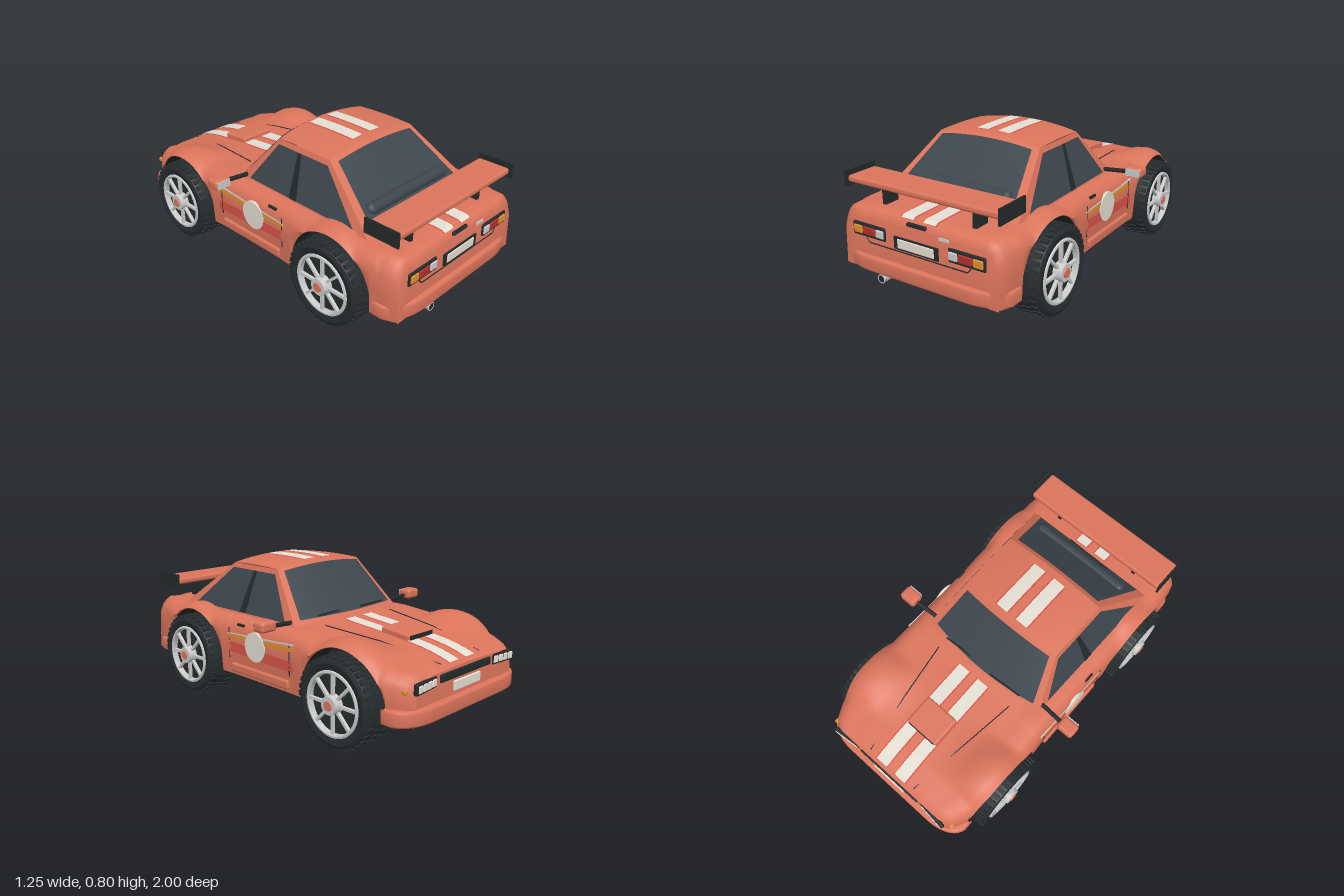
import * as THREE from 'three';
import { toCreasedNormals } from 'three/addons/utils/BufferGeometryUtils.js';
import { RoundedBoxGeometry } from 'three/addons/geometries/RoundedBoxGeometry.js';
import { ParametricGeometry } from 'three/addons/geometries/ParametricGeometry.js';

const mat = color => new THREE.MeshStandardMaterial({ color, side: THREE.DoubleSide });
const M = {
  paint: mat(0xdb745b), dark: mat(0x23292b), tyre: mat(0x262c2e), glass: mat(0x3d474e), grey: mat(0xcccccc),
  cream: mat(0xe4dfd3), red: mat(0xb5302a), band: mat(0xd9534a), amber: mat(0xe0902f),
};
const REAR = 0.565, FRONT = -0.595, AXLE = 0.232, ARCH = 0.262;
const lerp = THREE.MathUtils.lerp;

// piecewise-linear lookup of [z, value] keys
function key(keys, z) {
  if (z <= keys[0][0]) return keys[0][1];
  for (let i = 1; i < keys.length; i++) {
    const [a, p] = keys[i - 1], [b, q] = keys[i];
    if (z <= b) return lerp(p, q, (z - a) / (b - a));
  }
  return keys[keys.length - 1][1];
}
const deckY = z => key([[-0.96, 0.395], [-0.93, 0.415], [-0.8, 0.448], [-0.6, 0.475], [-0.3, 0.5], [-0.2, 0.515],
  [0.7, 0.51], [0.93, 0.505], [0.955, 0.49], [0.97, 0.455]], z);
const halfWidth = z => key([[-0.96, 0.41], [-0.92, 0.445], [-0.84, 0.48], [-0.7, 0.497], [-0.35, 0.5], [-0.25, 0.494],
  [0.2, 0.494], [0.3, 0.5], [0.8, 0.5], [0.93, 0.485], [0.97, 0.465]], z);
const arc = (z, r) => Math.max(...[REAR, FRONT].map(w => Math.abs(z - w) <= r ? AXLE + Math.sqrt(r * r - (z - w) ** 2) : 0));
const crestY = z => Math.max(Math.min(deckY(z), 0.505), arc(z, 0.297));
const hemY = z => Math.max(0.185, arc(z, ARCH));

// one cross-section of the lower body, left hem over the hood to the right hem
function section(z) {
  const t = deckY(z), c = crestY(z), W = halfWidth(z), k = W / 0.5, b = hemY(z);
  const s = Math.max(c - (z > 0.85 ? 0.085 : 0.065), b + 0.004), d = c - s;
  const half = [[0.1, t + 0.004], [0.24 * k, t], [0.3 * k, lerp(t, c, 0.5)], [0.36 * k, c - 0.006], [0.42 * k, c],
    [0.455 * k, c - 0.2 * d], [0.482 * k, c - 0.52 * d], [W, s], [W + 0.003, lerp(s, b, 0.4)], [W - 0.006, b]];
  return [...half.map(([x, y]) => [-x, y]).reverse(), [0, t + 0.006], ...half];
}
function bodyGeometry() {
  const zs = [-0.96, -0.945, -0.93, -0.9, -0.25, -0.2, -0.1, 0.05, 0.2, 0.93, 0.945, 0.955, 0.964, 0.97];
  for (const w of [REAR, FRONT]) {
    for (let i = 0; i <= 28; i++) zs.push(w - ARCH * Math.cos(i * Math.PI / 28));
    for (const s of [-1, 1]) zs.push(w + s * (ARCH + 0.0005), w + s * 0.28, w + s * 0.297, w + s * 0.31);
  }
  zs.sort((a, b) => a - b);
  const rows = zs.map(z => section(z).map(([x, y]) => [x, y, z]));
  // flat nose and tail
  const drop = (row, dz) => row.map(([x, , z]) => [x, 0.185, z + dz]);
  rows.unshift(drop(rows[0], -0.012));
  rows.push(drop(rows[rows.length - 1], 0.006));
  const n = rows.length - 1, m = rows[0].length - 1;
  return toCreasedNormals(new ParametricGeometry((u, v, p) => p.set(...rows[Math.round(u * n)][Math.round(v * m)]), n, m), 0.7);
}

// cabin faces: s runs across (or front to back on the sides), t runs upward
const crown = s => 4 * s * (1 - s);
const cabin = {
  front: (s, t) => [(2 * s - 1) * lerp(0.4, 0.312, t), lerp(0.5, 0.765, t) + 0.028 * t * crown(s), lerp(-0.19, 0.035, t) - crown(s) * lerp(0.05, 0.02, t)],
  rear: (s, t) => [(2 * s - 1) * lerp(0.415, 0.312, t), lerp(0.495, 0.765, t) + 0.028 * t * crown(s), lerp(0.745, 0.395, t)],
  side: (s, t) => [lerp(lerp(0.4, 0.415, s), 0.312, t), lerp(0.498, 0.765, t), lerp(lerp(-0.19, 0.745, s), lerp(0.035, 0.395, s), t)],
  roof: (s, t) => [(2 * s - 1) * 0.312, 0.765 + 0.028 * crown(s) + 0.006 * crown(t), lerp(0.035 - 0.02 * crown(s), 0.395, t)],
};
function patch(fn, [s0, s1, t0, t1] = [0, 1, 0, 1], lift = [0, 0, 0], n = 12) {
  return new ParametricGeometry((u, v, p) => {
    const q = fn(lerp(s0, s1, u), lerp(t0, t1, v));
    p.set(q[0] + lift[0], q[1] + lift[1], q[2] + lift[2]);
  }, n, n);
}

export function createModel() {
  const root = new THREE.Group();
  const add = (name, geo, m, x = 0, y = 0, z = 0, parent = root) => {
    const mesh = new THREE.Mesh(geo, m);
    mesh.name = name;
    mesh.position.set(x, y, z);
    parent.add(mesh);
    return mesh;
  };
  const box = (name, m, w, h, d, x, y, z, r = 0, parent = root) =>
    add(name, r ? new RoundedBoxGeometry(w, h, d, 3, r) : new THREE.BoxGeometry(w, h, d), m, x, y, z, parent);
  const rod = (name, m, a, b, r) => {
    const path = new THREE.LineCurve3(new THREE.Vector3(...a), new THREE.Vector3(...b));
    return add(name, new THREE.TubeGeometry(path, 1, r, 6), m);
  };

  // lower body and floor
  add('body', bodyGeometry(), M.paint);
  box('floor', M.dark, 0.73, 0.03, 1.74, 0, 0.18, 0.01);
  box('floorCentre', M.dark, 0.96, 0.03, 0.6, 0, 0.185, -0.015);

  // cabin, glass and roof
  for (const k of ['front', 'rear', 'roof']) add('cabin' + k, patch(cabin[k]), M.paint);
  add('windscreen', patch(cabin.front, [0.05, 0.95, 0.1, 0.94], [0, 0.004, -0.005]), M.glass);
  add('rearWindow', patch(cabin.rear, [0.06, 0.94, 0.06, 0.94], [0, 0.004, 0.004]), M.glass);
  const roll = add('rearWindowRoll', new THREE.CapsuleGeometry(0.033, 0.56, 6, 12), M.glass, 0, 0.582, 0.64);
  roll.rotation.z = Math.PI / 2;

  // wheels, arches and everything mirrored left to right
  for (const s of [1, -1]) {
    const side = new THREE.Group();
    side.name = s > 0 ? 'leftSide' : 'rightSide';
    root.add(side);
    const flip = fn => (u, v) => { const q = fn(u, v); return [s * q[0], q[1], q[2]]; };
    add('cabinSide', patch(flip(cabin.side)), M.paint, 0, 0, 0, side);
    add('sideWindow', patch(flip(cabin.side), [0.07, 0.91, 0.05, 0.9], [s * 0.004, 0.002, 0]), M.glass, 0, 0, 0, side);
    add('doorPillar', patch(flip(cabin.side), [0.415, 0.475, 0.05, 0.9], [s * 0.007, 0.003, 0]), M.dark, 0, 0, 0, side);
    for (const z of [REAR, FRONT]) {
      const well = add('wheelWell', new THREE.CylinderGeometry(ARCH, ARCH, 0.122, 32, 1, true, 0, Math.PI), M.dark, s * 0.426, AXLE, z, side);
      well.rotation.z = Math.PI / 2;
      add('wheelWellWall', new THREE.CircleGeometry(ARCH, 32, 0, Math.PI), M.dark, s * 0.366, AXLE, z, side).rotation.y = Math.PI / 2;
      makeWheel(side, s, z);
    }
    box('sill', M.paint, 0.03, 0.05, 0.46, s * 0.492, 0.228, -0.015, 0.012, side);
    // mirror
    box('mirror', M.paint, 0.1, 0.056, 0.08, s * 0.575, 0.538, -0.16, 0.018, side);
    box('mirrorGlass', M.grey, 0.08, 0.04, 0.006, s * 0.575, 0.538, -0.119, 0, side);
    rod('mirrorArm', M.dark, [s * 0.39, 0.52, -0.15], [s * 0.54, 0.53, -0.16], 0.012);
    // door trim
    add('doorDisc', new THREE.CylinderGeometry(0.08, 0.08, 0.02, 32), M.cream, s * 0.492, 0.375, 0.015, side).rotation.z = Math.PI / 2;
    const stripes = [[M.amber, 0.022, 0.41, -0.03], [M.grey, 0.008, 0.428, -0.06], [M.band, 0.055, 0.335, 0.03]];
    for (const [m, h, y, t] of stripes) box('doorStripe', m, 0.008, h, 0.54, s * 0.494, y, -0.01, 0, side).rotation.x = -t;
    box('doorHandle', M.dark, 0.012, 0.012, 0.06, s * 0.478, 0.468, 0.15, 0, side);
    for (const z of [0.235, -0.25]) box('doorGap', M.dark, 0.004, 0.17, 0.005, s * 0.496, 0.36, z, 0, side);
    // tail lamps
    box('tailLampBezel', M.dark, 0.212, 0.07, 0.02, s * 0.298, 0.393, 0.97, 0.008, side);
    for (const [m, x, w] of [[M.amber, 0.365, 0.056], [M.red, 0.293, 0.078], [M.grey, 0.224, 0.05]])
      box('tailLamp', m, w, 0.042, 0.02, s * x, 0.393, 0.977, 0.006, side);
    // headlamps
    const lamp = new THREE.Group();
    lamp.name = 'headlamp';
    lamp.position.set(s * 0.32, 0.36, -0.962);
    lamp.rotation.y = s * 0.1;
    side.add(lamp);
    box('headlampBezel', M.dark, 0.17, 0.056, 0.024, 0, 0, 0, 0.008, lamp);
    for (let i = 0; i < 4; i++) box('headlampLens', M.cream, 0.034, 0.038, 0.014, (i - 1.5) * 0.039, 0, -0.01, 0.006, lamp);
    box('indicator', M.amber, 0.02, 0.022, 0.025, s * 0.434, 0.35, -0.935, 0.005, side);
    // spoiler struts and end plates
    box('spoilerStrut', M.dark, 0.022, 0.12, 0.085, s * 0.275, 0.555, 0.84, 0, side);
    box('spoilerEndPlate', M.dark, 0.01, 0.08, 0.2, s * 0.461, 0.624, 0.853, 0, side);
    // hood and boot seams
    rod('hoodSeam', M.dark, [s * 0.16, deckY(-0.93) + 0.002, -0.93], [s * 0.213, deckY(-0.6) + 0.002, -0.6], 0.003);
    rod('hoodSeam', M.dark, [s * 0.213, deckY(-0.6) + 0.002, -0.6], [s * 0.26, deckY(-0.27), -0.27], 0.003);
    rod('bootSeam', M.dark, [s * 0.32, 0.355, 0.975], [s * 0.3, 0.332, 0.975], 0.003);
    // long stripes with a red edge
    for (const [x0, x1, m, up] of [[0.022, 0.112, M.band, 0.007], [0.03, 0.104, M.cream, 0.009]]) {
      const strip = z => (u, v) => [s * lerp(x0, x1, u), deckY(lerp(...z, v)) + up, lerp(...z, v)];
      add('hoodStripe', patch(strip([-0.94, -0.27])), m, 0, 0, 0, side);
      add('bootStripe', patch(strip([0.75, 0.95])), m, 0, 0, 0, side);
      const roofS = x => 0.5 + s * x / 0.624;
      add('roofStripe', patch(cabin.roof, [roofS(x0), roofS(x1), 0.07, 0.89], [0, up - 0.003, 0]), m, 0, 0, 0, side);
    }
  }

  // bumpers, rounded in plan
  for (const s of [1, -1]) {
    const plan = new THREE.Shape();
    const w = s > 0 ? 0.488 : 0.475;
    plan.moveTo(-w, 0.855);
    plan.lineTo(-w, 0.9);
    plan.bezierCurveTo(-w + 0.02, 0.96, -0.38, 0.985, -0.3, 0.988);
    plan.lineTo(0.3, 0.988);
    plan.bezierCurveTo(0.38, 0.985, w - 0.02, 0.96, w, 0.9);
    plan.lineTo(w, 0.855);
    const geo = new THREE.ExtrudeGeometry(plan, { depth: 0.056, bevelSize: 0.012, bevelThickness: 0.012, bevelSegments: 3, curveSegments: 12 });
    geo.rotateX(Math.PI / 2);
    if (s < 0) geo.rotateY(Math.PI);
    add(s > 0 ? 'rearBumper' : 'frontBumper', toCreasedNormals(geo, 0.7), M.paint, 0, 0.253, 0);
  }

  // rear details
  box('spoilerWing', M.paint, 0.915, 0.036, 0.185, 0, 0.622, 0.848, 0.014);
  box('rearPlateFrame', M.dark, 0.268, 0.064, 0.02, 0, 0.375, 0.97);
  box('rearPlate', M.cream, 0.224, 0.05, 0.02, 0, 0.375, 0.974, 0.006);
  box('bootHandle', M.dark, 0.12, 0.02, 0.03, 0, 0.48, 0.957, 0.008);
  box('bootBadge', M.grey, 0.058, 0.014, 0.012, 0.167, 0.455, 0.968);
  rod('bootSeamBottom', M.dark, [-0.3, 0.332, 0.975], [0.3, 0.332, 0.975], 0.003);
  rod('exhaustPipe', M.grey, [-0.225, 0.16, 0.85], [-0.225, 0.16, 0.99], 0.0235);
  add('exhaustEnd', new THREE.CircleGeometry(0.02, 20), M.dark, -0.225, 0.16, 0.991);
  add('exhaustRim', new THREE.TorusGeometry(0.021, 0.003, 6, 20), M.grey, -0.225, 0.16, 0.99);
  rod('rearWiper', M.dark, [-0.15, 0.535, 0.708], [0.13, 0.52, 0.725], 0.005);

  // front details
  box('grille', M.dark, 0.42, 0.04, 0.02, 0, 0.365, -0.961, 0.006);
  box('frontPlate', M.cream, 0.22, 0.05, 0.014, 0, 0.31, -0.972, 0.005);
  box('hoodScoop', M.paint, 0.21, 0.045, 0.175, 0, 0.487, -0.603, 0.012).rotation.x = -0.1;
  box('hoodScoopMouth', M.dark, 0.18, 0.022, 0.01, 0, 0.483, -0.689);
  for (const x of [-0.27, 0.05]) rod('wiper', M.dark, [x, 0.545, -0.2], [x + 0.2, 0.545, -0.212], 0.005);
  return root;
}

// wheel built around its axle, outer face toward +y, then laid on its side
function makeWheel(parent, s, z) {
  const wheel = new THREE.Group();
  wheel.name = z > 0 ? 'rearWheel' : 'frontWheel';
  wheel.position.set(s * 0.466, AXLE, z);
  wheel.rotation.z = -s * Math.PI / 2;
  parent.add(wheel);
  const add = (name, geo, m, y = 0) => {
    const mesh = new THREE.Mesh(geo, m);
    mesh.name = name;
    mesh.position.y = y;
    wheel.add(mesh);
    return mesh;
  };
  const lathe = pts => toCreasedNormals(new THREE.LatheGeometry(pts.map(p => new THREE.Vector2(...p)), 40), 0.6);
  add('tyre', lathe([[0.16, -0.075], [0.2, -0.085], [0.217, -0.077], [0.225, -0.05], [0.226, 0], [0.225, 0.05], [0.217, 0.077], [0.2, 0.085], [0.16, 0.075]]), M.tyre);
  for (let i = 0; i < 36; i++) for (const row of [-1, 0, 1]) {
    const a = (i + (row ? 0 : 0.5)) * Math.PI / 18;
    const block = add('treadBlock', new THREE.BoxGeometry(0.024, 0.042, 0.012), M.tyre, row * 0.052);
    block.position.x = Math.sin(a) * 0.225;
    block.position.z = Math.cos(a) * 0.225;
    block.rotation.y = a;
  }
  add('wheelDish', new THREE.CylinderGeometry(0.162, 0.162, 0.11, 40), M.tyre);
  add('rim', lathe([[0.148, 0.05], [0.148, 0.08], [0.154, 0.086], [0.164, 0.084], [0.168, 0.07]]), M.grey);
  for (let i = 0; i < 8; i++) {
    const a = i * Math.PI / 4;
    const spoke = add('spoke', new THREE.BoxGeometry(0.014, 0.018, 0.13), M.grey, 0.072);
    spoke.position.x = Math.sin(a) * 0.09;
    spoke.position.z = Math.cos(a) * 0.09;
    spoke.rotation.y = a;
  }
  add('hub', new THREE.CylinderGeometry(0.046, 0.05, 0.055, 24), M.grey, 0.077);
  add('hubCap', new THREE.CylinderGeometry(0.024, 0.026, 0.012, 10), M.paint, 0.105);
}
